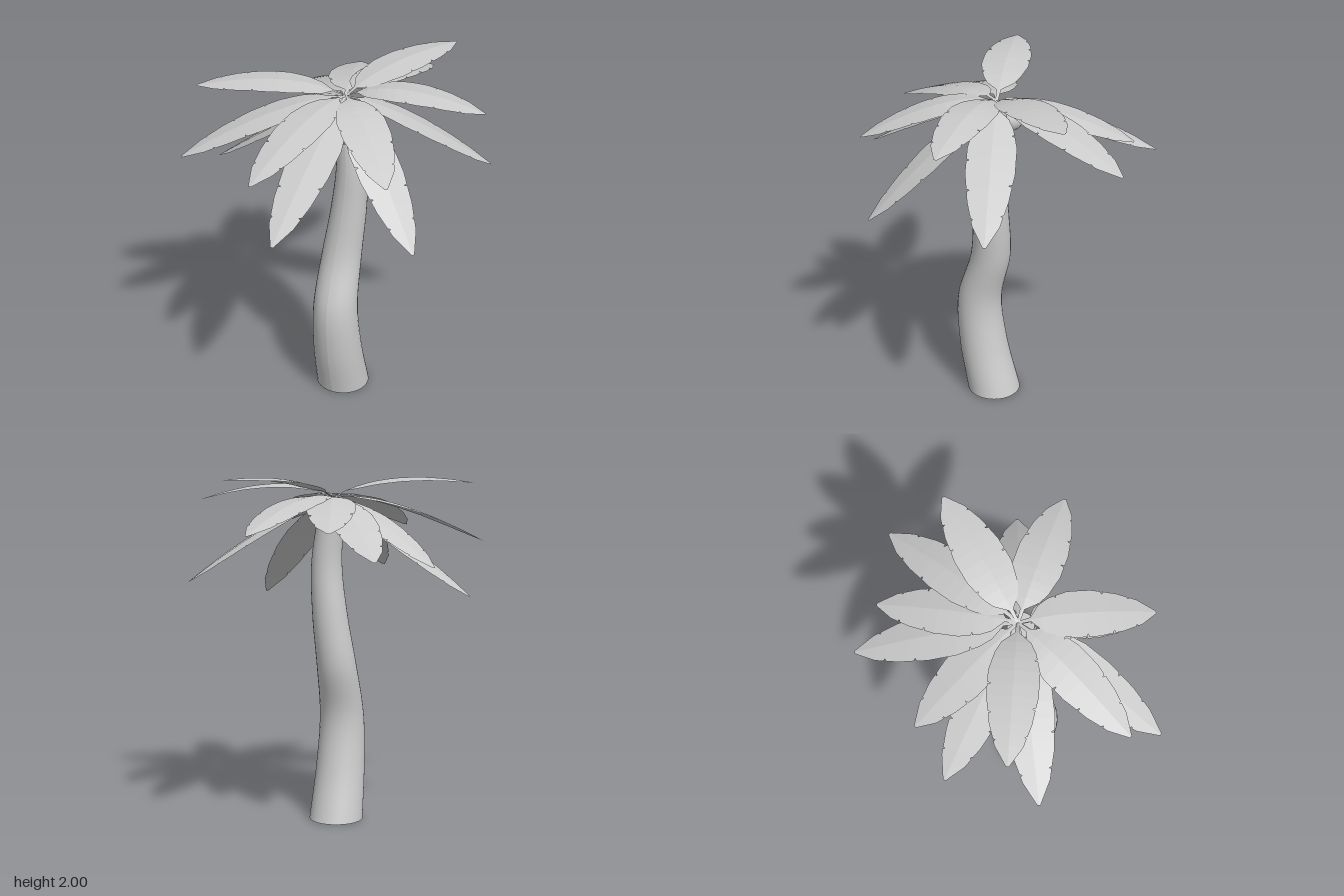
import * as THREE from 'three';

const V = (x, y, z) => new THREE.Vector3(x, y, z);

// Curved trunk: a cylinder whose rings follow a bent centre line and taper upward
function makeTrunk(material) {
  const spine = new THREE.CatmullRomCurve3([
    V(0.015, 0, 0.025), V(0.014, 0.3, 0.1), V(0.014, 0.6, 0.125), V(0.018, 0.9, 0.045),
    V(0.05, 1.2, 0.02), V(0.069, 1.5, 0.02), V(0.03, 1.83, 0.01),
  ], false, 'catmullrom');
  const geometry = new THREE.CylinderGeometry(1, 1, 1, 32, 36);
  const pos = geometry.attributes.position;
  for (let i = 0; i < pos.count; i++) {
    const c = spine.getPoint(pos.getY(i) + 0.5);
    const r = 0.155 - 0.045 * c.y;
    pos.setXYZ(i, c.x + pos.getX(i) * r, c.y, c.z + pos.getZ(i) * r);
  }
  geometry.computeVertexNormals();
  return new THREE.Mesh(geometry, material);
}

// Half-width of a frond along its length: stem, broad blade, blunt tip
const OUTLINE = [[0, 0.008], [0.12, 0.012], [0.21, 0.075], [0.3, 0.105], [0.45, 0.132],
  [0.62, 0.132], [0.78, 0.108], [0.9, 0.072], [1, 0.008]];

// Where the edge is nicked, on the left (+1) or right (-1)
const NICKS = [[0.36, 1], [0.54, -1], [0.69, 1], [0.72, -1], [0.85, 1], [0.87, -1]];

function halfWidth(t) {
  const k = Math.max(1, OUTLINE.findIndex(([u]) => u >= t));
  const [t0, w0] = OUTLINE[k - 1], [t1, w1] = OUTLINE[k];
  return THREE.MathUtils.mapLinear(t, t0, t1, w0, w1);
}

// Frond: two blades folded along an arching midrib
function makeFrond(tip, arch, material) {
  const base = V(0.02, 1.87, 0);
  const control = base.clone().lerp(tip, 0.35).add(V(0, arch, 0));
  const rib = new THREE.QuadraticBezierCurve3(base, control, tip);
  const side = V(tip.z - base.z, 0, base.x - tip.x).normalize();

  const rows = OUTLINE.map(([t]) => ({ t, nick: 0 }));
  for (const [t, nick] of NICKS) {
    rows.push({ t: t - 0.008, nick: 0 }, { t, nick }, { t: t + 0.004, nick: 0 });
  }
  rows.sort((a, b) => a.t - b.t);

  const points = [], index = [];
  rows.forEach(({ t, nick }, i) => {
    const c = rib.getPoint(t), w = halfWidth(t);
    for (const s of [-1, 0, 1]) {
      const reach = s * w * (nick && s === nick ? 0.86 : 1);
      const p = c.clone().addScaledVector(side, reach);
      p.y -= Math.abs(reach) * 0.11;
      points.push(p.x, p.y, p.z);
    }
    if (i === 0) return;
    for (const k of [0, 1]) {
      const a = (i - 1) * 3 + k, b = i * 3 + k;
      index.push(a, a + 1, b, a + 1, b + 1, b);
    }
  });
  const geometry = new THREE.BufferGeometry();
  geometry.setAttribute('position', new THREE.Float32BufferAttribute(points, 3));
  geometry.setIndex(index);
  geometry.computeVertexNormals();
  return new THREE.Mesh(geometry, material);
}

export function createModel() {
  const model = new THREE.Group();
  const bark = new THREE.MeshStandardMaterial({ color: 0xcccccc });
  const leaf = new THREE.MeshStandardMaterial({
    color: 0xcccccc, flatShading: true, side: THREE.DoubleSide,
  });

  const trunk = makeTrunk(bark);
  trunk.name = 'trunk';
  model.add(trunk);

  // Crown: tip position and arch height of each frond
  const crown = new THREE.Group();
  crown.name = 'crown';
  const fronds = [
    [0.18, 1.72, -0.89, 0.13], [0.4, 1.99, -0.67, 0.11], [-0.46, 1.59, -0.73, 0.09],
    [-0.21, 1.73, -0.73, 0.09], [0.73, 1.41, -0.41, 0.1], [0.77, 1.85, -0.14, 0.16],
    [0.61, 1.26, 0.45, 0.09], [0.5, 1.69, 0.57, 0.14], [0.005, 1.4, 0.89, 0.08],
    [-0.17, 1.66, 0.78, 0.14], [-0.71, 1.6, 0.54, 0.13], [-0.7, 1.945, 0.35, 0.14],
    [-0.775, 1.34, 0, 0.04], [-0.64, 1.52, -0.25, 0.09],
  ];
  fronds.forEach(([x, y, z, arch], i) => {
    const frond = makeFrond(V(x, y, z), arch, leaf);
    frond.name = `frond${i + 1}`;
    crown.add(frond);
  });
  model.add(crown);

  // Coconuts tucked under the crown
  [[-0.12, 1.71, 0], [0.07, 1.72, 0.13]].forEach(([x, y, z], i) => {
    const nut = new THREE.Mesh(new THREE.SphereGeometry(0.066, 20, 14), bark);
    nut.position.set(x, y, z);
    nut.name = `coconut${i + 1}`;
    model.add(nut);
  });

  return model;
}
